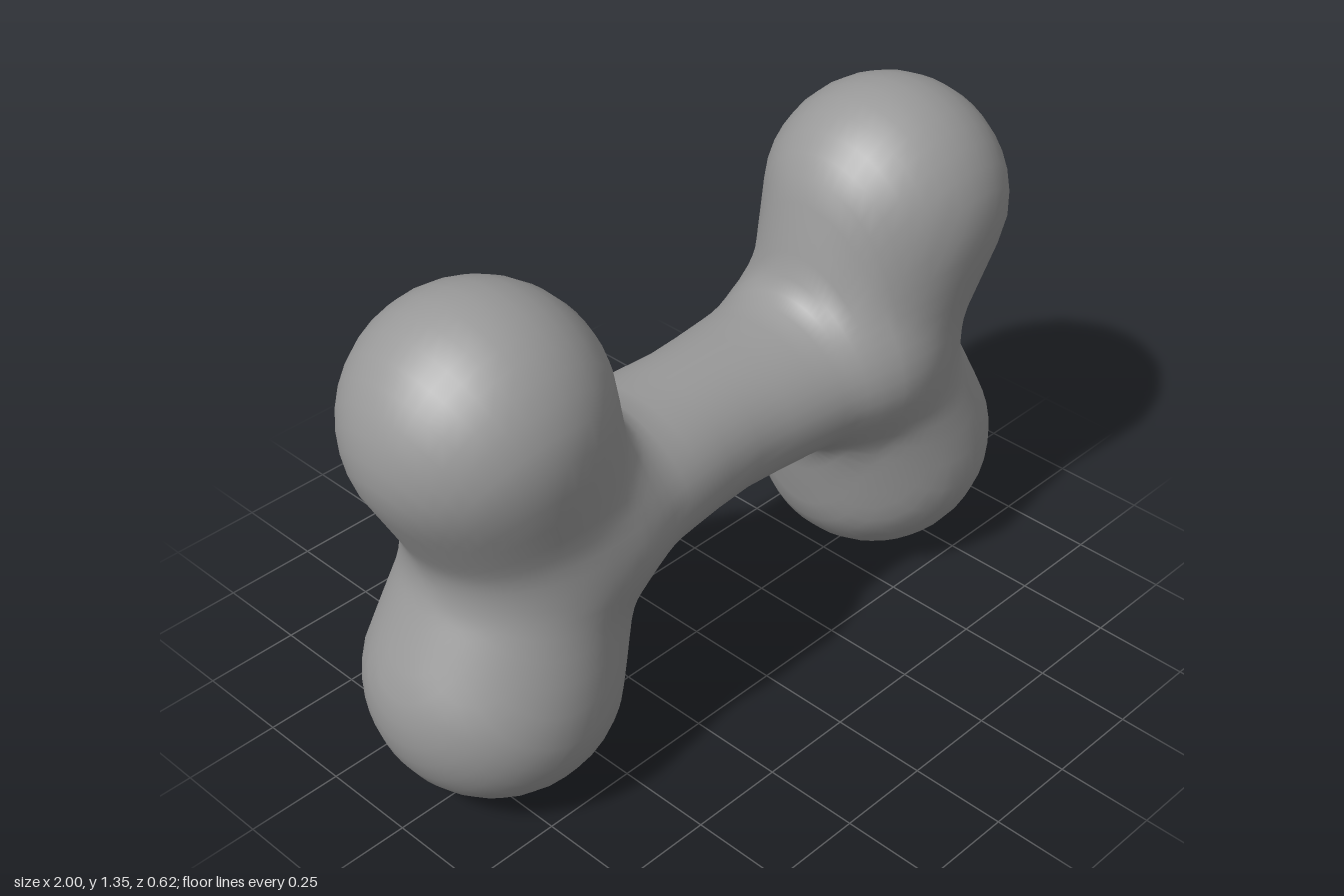
import * as THREE from 'three';
import { mergeVertices } from 'three/addons/utils/BufferGeometryUtils.js';

const MID = 0.68; // height of the shaft axis
const SEGMENTS = 64;

// Soft-blended union of two distance values
function blend(a, b, k) {
  const h = Math.max(k - Math.abs(a - b), 0) / k;
  return Math.min(a, b) - h * h * k / 4;
}

// Knob: tapered capsule leaning outwards from the end of the shaft
function knob(x, y, z) {
  const ax = 0.55, dx = 0.136, dy = 0.36;
  const t = THREE.MathUtils.clamp(((x - ax) * dx + y * dy) / (dx * dx + dy * dy), 0, 1);
  return Math.hypot(x - ax - dx * t, y - dy * t, z) - (0.26 + 0.053 * t);
}

// Shaft: oval section, deepening towards its rounded ends
function shaft(x, y, z) {
  const depth = 0.21 + 0.14 * Math.hypot(Math.min(x, 0.42), 0.05);
  const end = Math.max(x - 0.42, 0) / 0.33;
  return (Math.hypot(y / 0.184, z / depth, end) - 1) * 0.2;
}

// Distance to the bone, mirrored in x about its middle
function bone(x, y, z) {
  x = Math.abs(x);
  const knobs = blend(knob(x, y, z), knob(x, -y, z), 0.07);
  return blend(knobs, shaft(x, y, z), 0.1);
}

// Follow a ray from the axis out to the surface
function surfacePoint(originX, theta, phi) {
  const d = [Math.cos(theta), Math.sin(theta) * Math.cos(phi), Math.sin(theta) * Math.sin(phi)];
  let near = 0, far = 0.95;
  for (let i = 0; i < 30; i++) {
    const m = (near + far) / 2;
    if (bone(originX + d[0] * m, d[1] * m, d[2] * m) < 0) near = m;
    else far = m;
  }
  return [originX + d[0] * near, d[1] * near, d[2] * near];
}

function boneGeometry() {
  // Loops of one half: [origin on the axis, cone angle in degrees]
  const half = [[0, 90], [0.11, 90], [0.22, 92], [0.31, 99], [0.38, 106], [0.44, 111], [0.5, 114]];
  for (let i = 0; i <= 24; i++) half.push([0.55, 110 * (1 - i / 24)]);
  const rings = [...half.slice(1).reverse().map(([x, a]) => [-x, 180 - a]), ...half];

  const positions = [], index = [];
  rings.forEach(([x, angle], i) => {
    for (let j = 0; j < SEGMENTS; j++) {
      const u = (j / SEGMENTS) * Math.PI * 2;
      // loops are denser above and below, where the knobs are
      const p = surfacePoint(x, THREE.MathUtils.degToRad(angle), u - 0.22 * Math.sin(2 * u));
      positions.push(p[0], p[1] + MID, p[2]);
      if (i === rings.length - 1) continue;
      const a = i * SEGMENTS + j, b = i * SEGMENTS + (j + 1) % SEGMENTS;
      index.push(a, b, a + SEGMENTS, b, b + SEGMENTS, a + SEGMENTS);
    }
  });
  const g = new THREE.BufferGeometry();
  g.setAttribute('position', new THREE.Float32BufferAttribute(positions, 3));
  g.setIndex(index);
  const merged = mergeVertices(g, 1e-5);
  merged.computeVertexNormals();
  return merged;
}

export function createModel() {
  const group = new THREE.Group();
  group.name = 'bone';
  // Shaft and four knobs as one continuous skin
  const body = new THREE.Mesh(boneGeometry(), new THREE.MeshStandardMaterial({ color: 0x999999 }));
  body.name = 'boneBody';
  group.add(body);
  return group;
}
